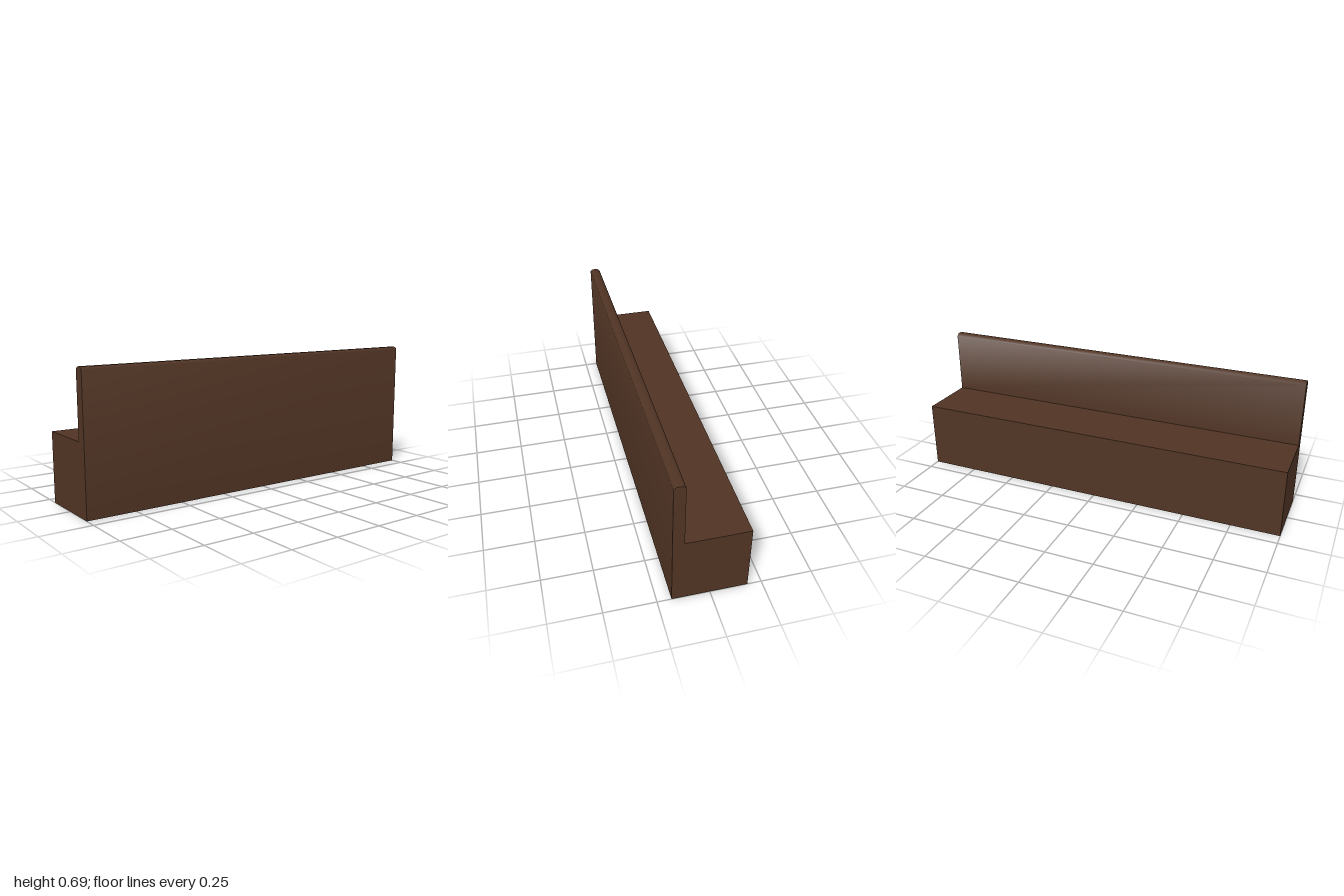
import * as THREE from 'three';
import { toCreasedNormals } from 'three/addons/utils/BufferGeometryUtils.js';

// Cross-section as [z, y], from the front foot over the top to the back foot
const PROFILE = [
  [0.182, 0], [0.182, 0.678], [0.179, 0.683], [0.169, 0.69], [0.141, 0.69],
  [0.127, 0.678], [0.127, 0.353], [-0.182, 0.353], [-0.182, 0],
];

// Thin shell running along x, open underneath
function shellGeometry() {
  const pos = [];
  for (let i = 0; i < PROFILE.length - 1; i++) {
    const [z0, y0] = PROFILE[i];
    const [z1, y1] = PROFILE[i + 1];
    pos.push(-1, y0, z0, 1, y0, z0, 1, y1, z1);
    pos.push(-1, y0, z0, 1, y1, z1, -1, y1, z1);
  }
  const geo = new THREE.BufferGeometry();
  geo.setAttribute('position', new THREE.Float32BufferAttribute(pos, 3));
  return toCreasedNormals(geo, 0.9);
}

// Flat end panel facing outward on the given side
function endGeometry(side) {
  const shape = new THREE.Shape(PROFILE.map(([z, y]) => new THREE.Vector2(-side * z, y)));
  return new THREE.ShapeGeometry(shape).rotateY(side * Math.PI / 2).translate(side, 0, 0);
}

export function createModel() {
  const group = new THREE.Group();
  group.name = 'counter';
  const wood = new THREE.MeshStandardMaterial({ color: 0x503424, side: THREE.DoubleSide });
  wood.name = 'dark brown wood';

  const add = (name, geo) => {
    const mesh = new THREE.Mesh(geo, wood);
    mesh.name = name;
    group.add(mesh);
  };

  add('counterShell', shellGeometry());
  add('leftEndPanel', endGeometry(1));
  add('rightEndPanel', endGeometry(-1));
  return group;
}
